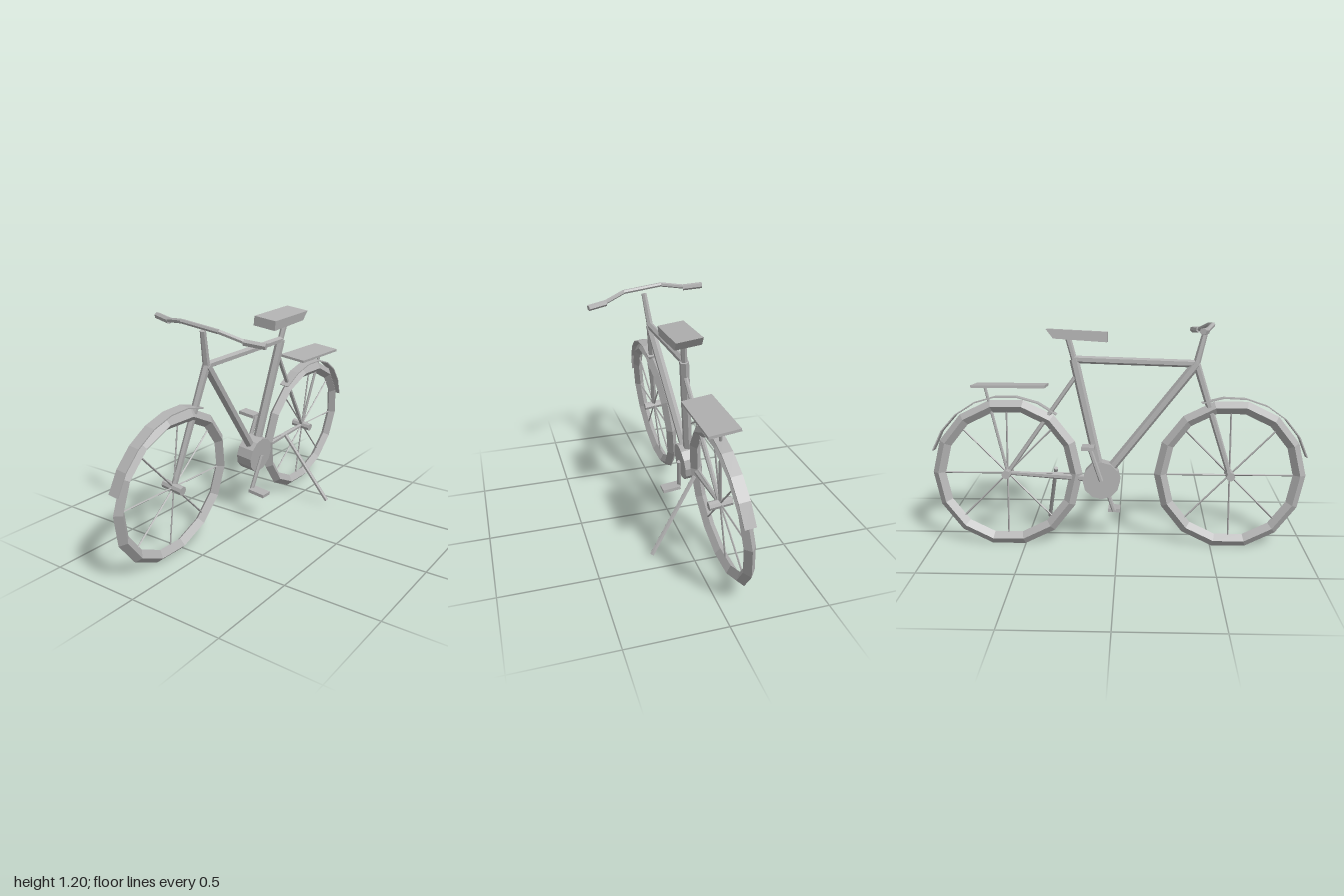
import * as THREE from 'three';

const LEAN = 0.12, AXLE_Y = 0.395, FRONT_Z = 0.597, REAR_Z = -0.592;

export function createModel() {
  const grey = new THREE.MeshStandardMaterial({ color: 0xb0b0b0, flatShading: true });
  grey.name = 'plain grey';

  const root = new THREE.Group();
  root.name = 'bicycle';
  // Everything except the kickstand is built upright, then leaned to its left
  const bike = new THREE.Group();
  bike.name = 'leaningBicycle';
  bike.rotation.z = -LEAN;
  bike.position.x = -0.138;
  root.add(bike);

  const add = (parent, name, geometry, x = 0, y = 0, z = 0) => {
    const mesh = new THREE.Mesh(geometry, grey);
    mesh.name = name;
    mesh.position.set(x, y, z);
    parent.add(mesh);
    return mesh;
  };
  // Straight rod between two points
  const rod = (parent, name, a, b, rA, rB = rA, sides = 6) => {
    const from = new THREE.Vector3(...a), to = new THREE.Vector3(...b);
    const dir = to.clone().sub(from);
    const mesh = add(parent, name, new THREE.CylinderGeometry(rB, rA, dir.length(), sides));
    mesh.position.copy(from).add(to).multiplyScalar(0.5);
    mesh.quaternion.setFromUnitVectors(new THREE.Vector3(0, 1, 0), dir.normalize());
    return mesh;
  };

  // Wheels: diamond-section tyre, eight spokes, wide hub
  const wheel = (name, z) => {
    const g = new THREE.Group();
    g.name = name;
    g.position.set(0, AXLE_Y, z);
    bike.add(g);
    const tyre = new THREE.TorusGeometry(0.369, 0.034, 4, 14);
    tyre.scale(1, 1, 0.85);
    tyre.rotateY(Math.PI / 2);
    add(g, 'tyre', tyre);
    rod(g, 'hub', [-0.06, 0, 0], [0.06, 0, 0], 0.023, 0.023, 8);
    for (let i = 0; i < 8; i++) {
      const a = i * Math.PI / 4;
      rod(g, 'spoke', [0, 0, 0], [0, 0.35 * Math.sin(a), 0.35 * Math.cos(a)], 0.005, 0.005, 4);
    }
  };
  wheel('frontWheel', FRONT_Z);
  wheel('rearWheel', REAR_Z);

  // Mudguards: thin arcs, angles in degrees measured from straight ahead
  const mudguard = (name, z, start, end, segments) => {
    const arc = r => Array.from({ length: segments + 1 }, (_, i) => {
      const a = THREE.MathUtils.degToRad(start + (end - start) * i / segments);
      return new THREE.Vector2(r * Math.cos(a), r * Math.sin(a));
    });
    const shape = new THREE.Shape([...arc(0.418), ...arc(0.412).reverse()]);
    const geo = new THREE.ExtrudeGeometry(shape, { depth: 0.056, bevelEnabled: false });
    geo.translate(0, 0, -0.028);
    geo.rotateY(-Math.PI / 2);
    add(bike, name, geo, 0, AXLE_Y, z);
  };
  mudguard('frontMudguard', FRONT_Z, 14, 112, 6);
  mudguard('rearMudguard', REAR_Z, 50, 163, 7);

  // Frame
  const head = [0, 0.985, 0.41], seatTop = [0, 1.005, -0.23], crankAxle = [0, 0.365, -0.086];
  const rearHub = [0, AXLE_Y, REAR_Z];
  rod(bike, 'topTube', head, seatTop, 0.02);
  rod(bike, 'downTube', head, crankAxle, 0.025);
  rod(bike, 'seatTube', crankAxle, seatTop, 0.025);
  rod(bike, 'chainStay', crankAxle, rearHub, 0.02, 0.011);
  rod(bike, 'seatStay', [0, 0.92, -0.22], rearHub, 0.012);
  rod(bike, 'fork', head, [0, AXLE_Y, FRONT_Z], 0.02, 0.015);
  rod(bike, 'stem', [0, 0.97, 0.406], [0, 1.163, 0.455], 0.019, 0.015);
  rod(bike, 'seatPost', seatTop, [0, 1.12, -0.262], 0.016);

  // Handlebar with swept-back ends and thicker grips
  rod(bike, 'handlebarCentre', [-0.11, 1.187, 0.478], [0.11, 1.187, 0.478], 0.012);
  for (const s of [-1, 1]) {
    rod(bike, 'handlebarArm', [s * 0.11, 1.187, 0.478], [s * 0.235, 1.16, 0.437], 0.012);
    rod(bike, 'grip', [s * 0.225, 1.158, 0.437], [s * 0.33, 1.158, 0.41], 0.017);
  }

  // Saddle: side profile (z, y) extruded across the width
  const saddle = new THREE.ExtrudeGeometry(new THREE.Shape([
    [-0.055, 1.096], [-0.055, 1.148], [-0.37, 1.163], [-0.332, 1.114],
  ].map(p => new THREE.Vector2(...p))), { depth: 0.136, bevelEnabled: false });
  saddle.translate(0, 0, -0.068);
  saddle.rotateY(-Math.PI / 2);
  add(bike, 'saddle', saddle);

  // Luggage rack
  add(bike, 'rack', new THREE.BoxGeometry(0.156, 0.014, 0.385), 0, 0.866, -0.57);
  rod(bike, 'rackStrut', [0, 0.862, -0.705], rearHub, 0.008);

  // Crank drum, cranks and pedals
  rod(bike, 'crankDrum', [-0.047, 0.365, -0.086], [0.047, 0.365, -0.086], 0.1, 0.1, 12);
  for (const s of [-1, 1]) {
    const y = 0.365 - s * 0.19, z = -0.086 + s * 0.065;
    rod(bike, 'crank', [s * 0.053, 0.365, -0.086], [s * 0.053, y, z], 0.012);
    add(bike, 'pedal', new THREE.BoxGeometry(0.1, 0.018, 0.066), s * 0.104, y, z);
  }

  // Kickstand, reaching out to the ground
  rod(root, 'kickstand', [-0.045, 0.405, -0.336], [0.203, 0.022, -0.41], 0.012);

  return root;
}
